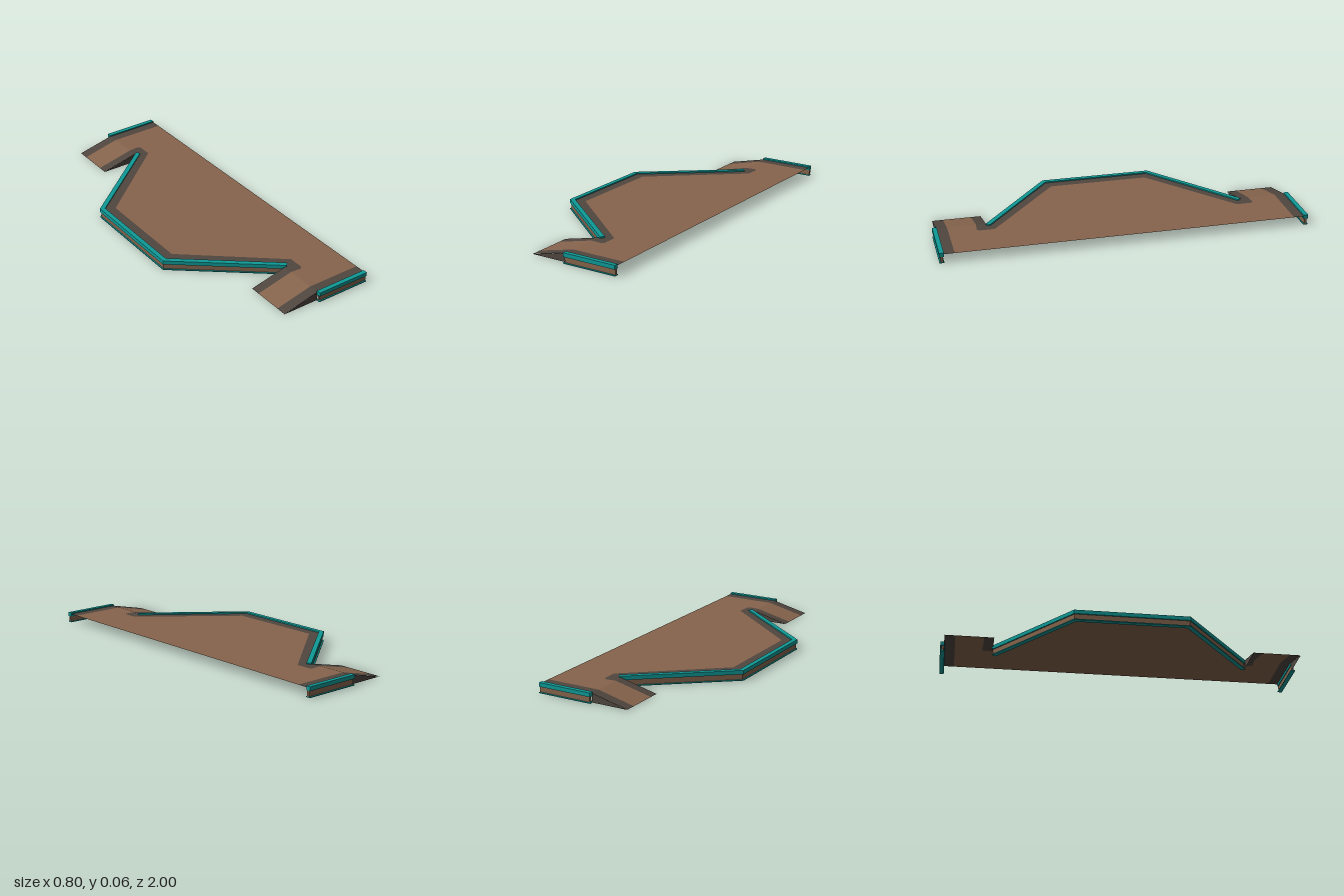
import * as THREE from 'three';

const DECK = 0.05, FOOT = -0.12, BREAK = 0.09;

export function createModel() {
  const model = new THREE.Group();
  model.name = 'rampPlatform';
  const paint = (name, color, side = THREE.FrontSide) => {
    const m = new THREE.MeshStandardMaterial({ color, side });
    m.name = name;
    return m;
  };
  const brown = paint('brown', 0x86644c, THREE.DoubleSide);
  const grey = paint('darkGrey', 0x50463f, THREE.DoubleSide);
  const teal = paint('teal', 0x0f9a97);

  const add = (name, geometry, material) => {
    const mesh = new THREE.Mesh(geometry, material);
    mesh.name = name;
    model.add(mesh);
  };
  // Plan outlines are lists of [x, z]
  const plan = (pts) => new THREE.Shape(pts.map(([x, z]) => new THREE.Vector2(x, -z)));
  const mirror = (pts) => pts.map(([x, z]) => [x, -z]).reverse();
  const rect = (x0, x1, z0, z1) => [[x0, z0], [x1, z0], [x1, z1], [x0, z1]];

  // Flat or ramped surface
  const surface = (name, pts, material, height = () => DECK) => {
    const g = new THREE.ShapeGeometry(plan(pts)).rotateX(-Math.PI / 2);
    const p = g.attributes.position;
    for (let i = 0; i < p.count; i++) p.setY(i, height(p.getX(i)));
    g.computeVertexNormals();
    add(name, g, material);
  };
  const slope = (x) => 0.001 + (DECK - 0.001) * (x - FOOT) / (BREAK - FOOT);

  // Upright block on a plan outline
  const block = (name, pts, y0, y1, material) => {
    const g = new THREE.ExtrudeGeometry(plan(pts), { depth: y1 - y0, bevelEnabled: false });
    add(name, g.rotateX(-Math.PI / 2).translate(0, y0, 0), material);
  };

  // Main deck with its dark border
  const inner = [[0.15, 0.77], [0.163, 0.757], [0.163, 0.675], [-0.32, 0.275]];
  const outer = [[0.11, 0.712], [-0.39, 0.305]];
  const half = [[0.4, 0.92], [BREAK, 0.92], [BREAK, 0.765], ...inner];
  surface('deck', [...half, ...mirror(half)], brown);
  const edge = [[BREAK, 0.712], ...outer];
  const innerEdge = [[BREAK, 0.765], ...inner];
  surface('deckBorder', [...edge, ...mirror(edge), ...innerEdge.concat(mirror(innerEdge)).reverse()], grey);

  // Angled rail around the deck: a band of constant width with mitred corners
  const railOutline = (a, b) => {
    const d = new THREE.Vector2(0.51, 0.405).normalize();
    const line = (o) => {
      const shift = o * (1 - d.y) / d.x;
      const pts = [[0.103 + o * d.y, 0.715 - o * d.x], [-0.4 + o, 0.31 - shift]];
      return [...pts, ...mirror(pts)];
    };
    return [...line(a), ...line(b).reverse()];
  };
  block('railTop', railOutline(0, 0.026), 0.035, 0.057, teal);
  block('railWall', railOutline(0.007, 0.02), 0.005, 0.035, brown);
  block('railFoot', railOutline(0, 0.026), 0, 0.005, teal);

  for (const s of [1, -1]) {
    const flip = (pts) => (s > 0 ? pts : mirror(pts));
    // Outer deck border and ramp
    surface('sideBorder', flip(rect(BREAK, 0.4, 0.92, 0.978)), grey);
    surface('ramp', flip(rect(FOOT, BREAK, 0.765, 0.92)), brown, slope);
    surface('rampOuterBorder', flip(rect(FOOT, BREAK, 0.92, 0.978)), grey, slope);
    surface('rampInnerBorder', flip(rect(FOOT, BREAK, 0.712, 0.765)), grey, slope);

    // Triangular ramp cheeks
    const cheek = new THREE.Shape([[FOOT, 0], [BREAK, 0], [BREAK, DECK]].map(([x, y]) => new THREE.Vector2(x, y)));
    for (const z of [0.712, 0.978]) add('rampCheek', new THREE.ShapeGeometry(cheek).translate(0, 0, s * z), grey);

    // Short side rail
    block('sideRailTop', flip(rect(0.087, 0.4, 0.975, 1)), 0.035, 0.057, teal);
    block('sideRailWall', flip(rect(0.093, 0.4, 0.98, 0.993)), 0.005, 0.035, brown);
    block('sideRailFoot', flip(rect(0.087, 0.4, 0.975, 1)), 0, 0.005, teal);
  }
  return model;
}
